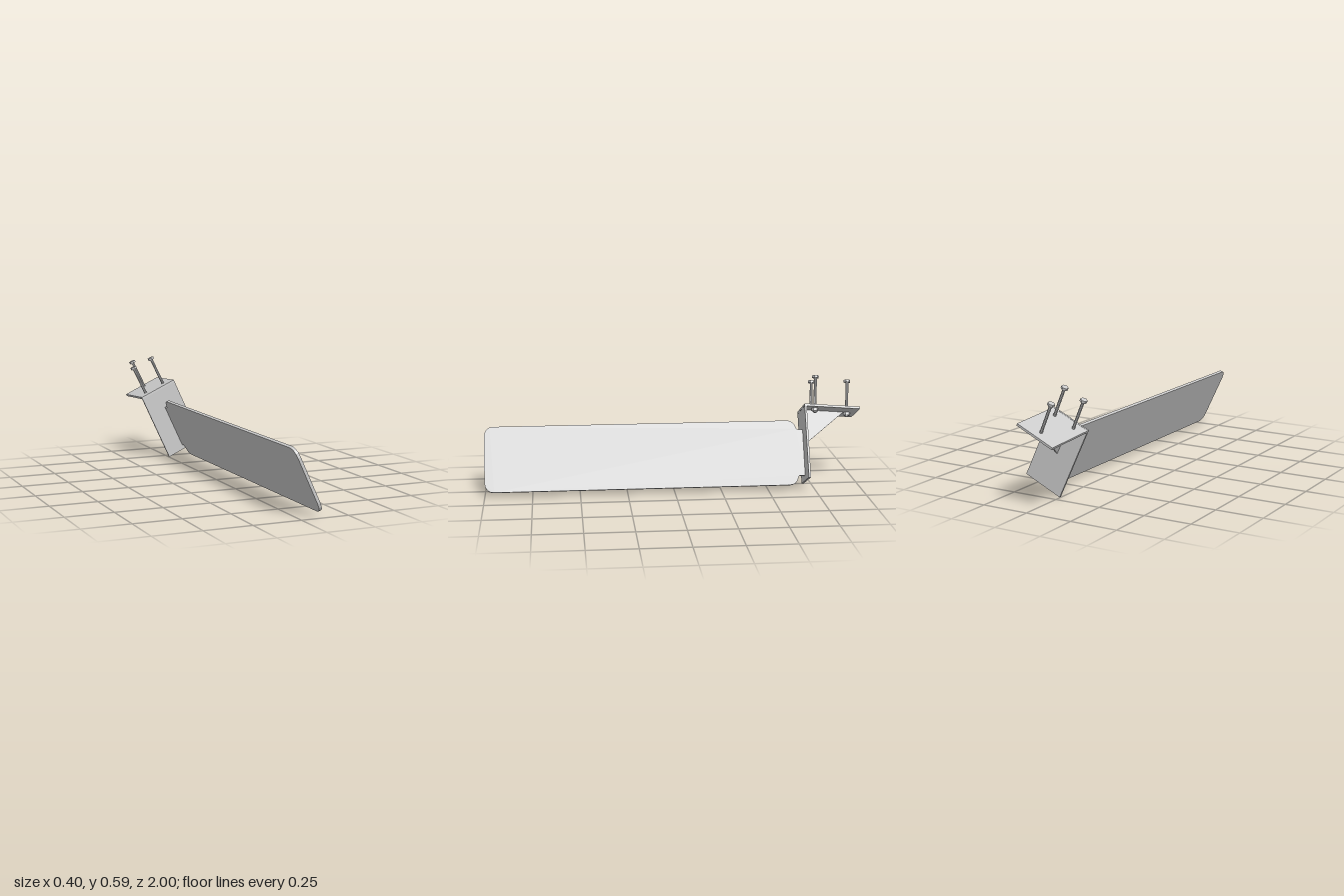
import * as THREE from 'three';

const material = new THREE.MeshStandardMaterial({ color: 0xcccccc, flatShading: true });

function add(parent, name, geometry, x = 0, y = 0, z = 0) {
  const mesh = new THREE.Mesh(geometry, material);
  mesh.name = name;
  mesh.position.set(x, y, z);
  parent.add(mesh);
  return mesh;
}

// Extrudes a side outline (shape x = model z) to a sheet centred on x = 0
function sheet(shape, thickness) {
  return new THREE.ExtrudeGeometry(shape, { depth: thickness, bevelEnabled: false, curveSegments: 4 })
    .translate(0, 0, -thickness / 2)
    .rotateY(-Math.PI / 2);
}

// Long board with rounded corners and a narrower tang at the back
function bladeShape() {
  const top = 0.129, bottom = -0.222, front = 1, back = -0.665, r = 0.05;
  const s = new THREE.Shape();
  s.moveTo(front - r, bottom);
  s.quadraticCurveTo(front - 0.005, bottom, front, bottom + r);
  s.lineTo(front, top - r);
  s.quadraticCurveTo(front - 0.005, top, front - r, top);
  s.lineTo(back + r, top);
  s.quadraticCurveTo(back + 0.01, top, back, top - r + 0.005);
  s.lineTo(back - 0.005, top - r);
  s.lineTo(-0.702, top - r);
  s.lineTo(-0.702, bottom + r);
  s.lineTo(back - 0.005, bottom + r);
  s.lineTo(back, bottom + r - 0.005);
  s.quadraticCurveTo(back + 0.01, bottom, back + r, bottom);
  return s;
}

function gussetShape() {
  const s = new THREE.Shape();
  s.moveTo(-0.708, -0.005);
  s.lineTo(-0.708, 0.19);
  s.lineTo(-0.935, 0.174);
  return s;
}

// Hex bolt through the plate, whose top face is y = 0
function bolt(x, z) {
  const g = new THREE.Group();
  g.name = 'bolt';
  g.position.set(x, 0, z);
  add(g, 'shank', new THREE.CylinderGeometry(0.008, 0.008, 0.2, 8), 0, 0.064, 0);
  add(g, 'head', new THREE.CylinderGeometry(0.018, 0.018, 0.013, 6), 0, 0.162, 0);
  add(g, 'nut', new THREE.CylinderGeometry(0.018, 0.018, 0.016, 6), 0, -0.02, 0);
  return g;
}

export function createModel() {
  const model = new THREE.Group();
  model.name = 'bracketedBoard';

  // Everything leans sideways by 25 degrees
  const body = new THREE.Group();
  body.name = 'leaningBody';
  body.position.set(0.019, 0.23, 0);
  body.rotation.z = THREE.MathUtils.degToRad(25);
  model.add(body);

  add(body, 'board', sheet(bladeShape(), 0.0155));
  add(body, 'wallPlate', new THREE.BoxGeometry(0.218, 0.398, 0.011), 0, 0, -0.7055);
  add(body, 'gusset', sheet(gussetShape(), 0.012));

  // Mounting plate, tilted slightly down towards the back
  const mount = new THREE.Group();
  mount.name = 'mount';
  mount.position.set(0, 0.199, -0.7);
  mount.rotation.x = -THREE.MathUtils.degToRad(4.5);
  body.add(mount);
  add(mount, 'mountPlate', new THREE.BoxGeometry(0.218, 0.012, 0.3), 0, -0.006, -0.15);
  for (const [x, z] of [[-0.059, -0.065], [0.059, -0.065], [0, -0.25]]) mount.add(bolt(x, z));

  return model;
}
